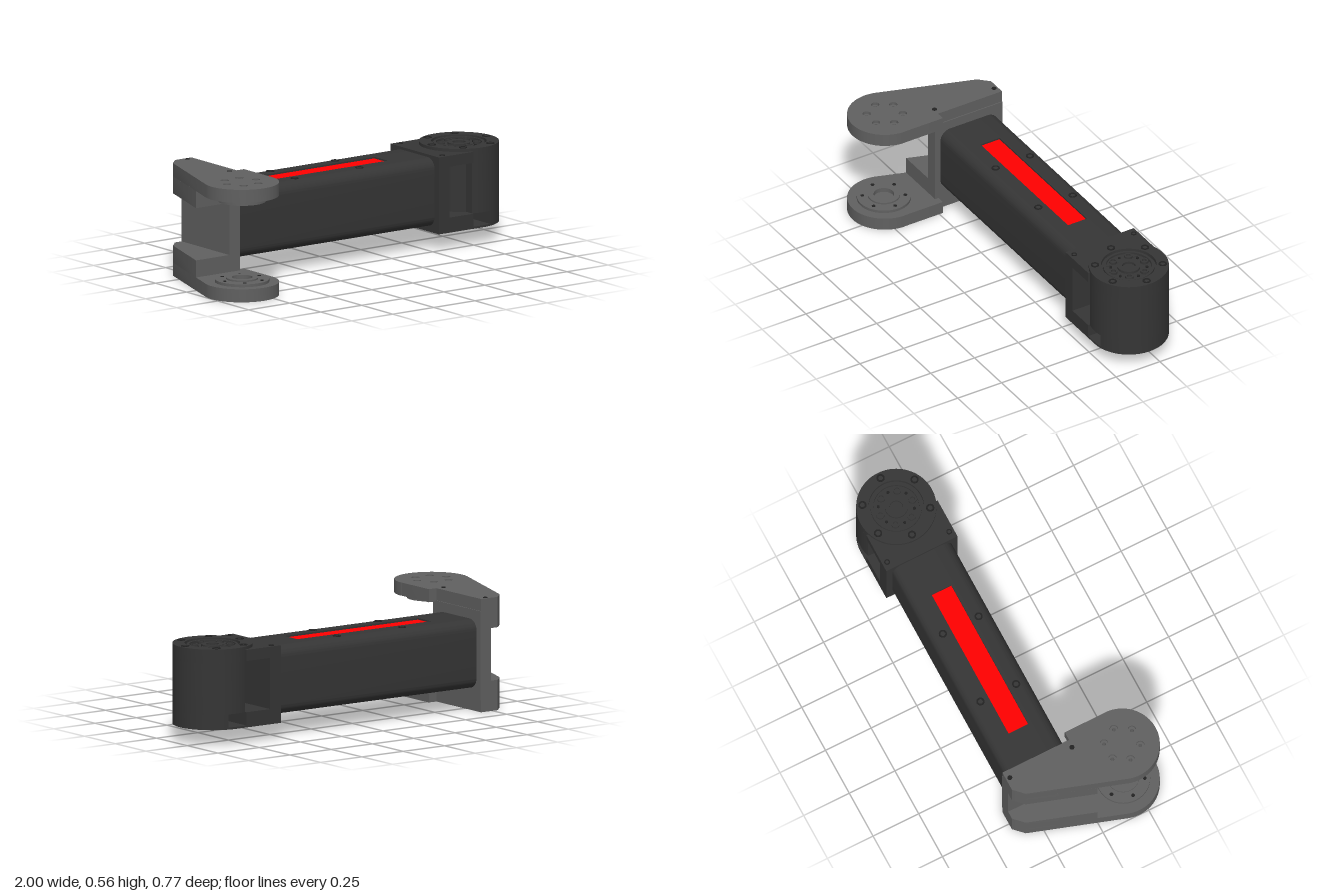
import * as THREE from 'three';
import { toCreasedNormals } from 'three/addons/utils/BufferGeometryUtils.js';

const mat = (color) => new THREE.MeshStandardMaterial({ color });

export function createModel() {
  const model = new THREE.Group();
  const dark = mat(0x353535), grey = mat(0x606060), black = mat(0x222222), red = mat(0xff0000);

  const add = (name, geo, material, parent = model) => {
    const mesh = new THREE.Mesh(geo, material);
    mesh.name = name;
    parent.add(mesh);
    return mesh;
  };
  const group = (name) => {
    const g = new THREE.Group();
    g.name = name;
    model.add(g);
    return g;
  };
  // Horizontal slab from y0 to y1; shapes are drawn in (x, -z)
  const slab = (name, shape, y0, y1, material, parent) => {
    const geo = new THREE.ExtrudeGeometry(shape, { depth: y1 - y0, bevelEnabled: false, curveSegments: 40 });
    geo.rotateX(-Math.PI / 2).translate(0, y0, 0);
    return add(name, toCreasedNormals(geo, 0.6), material, parent);
  };
  const box = (name, x0, x1, y0, y1, z0, z1, material, parent) =>
    add(name, new THREE.BoxGeometry(x1 - x0, y1 - y0, z1 - z0)
      .translate((x0 + x1) / 2, (y0 + y1) / 2, (z0 + z1) / 2), material, parent);
  const disc = (name, x, z, r, y0, y1, material, parent) =>
    add(name, new THREE.CylinderGeometry(r, r, y1 - y0, 48).translate(x, (y0 + y1) / 2, z), material, parent);
  const circle = (x, z, r) => new THREE.Path().absarc(x, -z, r, 0, Math.PI * 2);
  const ring = (name, x, z, r, inner, y0, y1, material, parent) => {
    const s = new THREE.Shape().absarc(x, -z, r, 0, Math.PI * 2);
    s.holes.push(circle(x, z, inner));
    return slab(name, s, y0, y1, material, parent);
  };
  const hex = (x, z, r, fn, start = 0) => {
    for (let i = 0; i < 6; i++) {
      const a = start + i * Math.PI / 3;
      fn(x + r * Math.cos(a), z + r * Math.sin(a));
    }
  };
  const screw = (x, z, r, y, parent) => {
    ring('screwRim', x, z, r, r * 0.6, y - 0.01, y + 0.003, black, parent);
    disc('screwSocket', x, z, r * 0.6, y - 0.01, y + 0.001, dark, parent);
  };

  // Link tube: rounded section with a groove along top and bottom
  const link = group('linkTube');
  const zc = -0.193, hw = 0.162, y0 = 0.112, y1 = 0.452, r = 0.055, gw = 0.054, gd = 0.014;
  const sec = new THREE.Shape();
  sec.moveTo(-hw + r, y0);
  sec.lineTo(-gw, y0); sec.lineTo(-gw, y0 + gd); sec.lineTo(gw, y0 + gd); sec.lineTo(gw, y0);
  sec.absarc(hw - r, y0 + r, r, -Math.PI / 2, 0);
  sec.absarc(hw - r, y1 - r, r, 0, Math.PI / 2);
  sec.lineTo(gw, y1); sec.lineTo(gw, y1 - gd); sec.lineTo(-gw, y1 - gd); sec.lineTo(-gw, y1);
  sec.absarc(-hw + r, y1 - r, r, Math.PI / 2, Math.PI);
  sec.absarc(-hw + r, y0 + r, r, Math.PI, Math.PI * 1.5);
  const tube = new THREE.ExtrudeGeometry(sec, { depth: 1.22, bevelEnabled: false, curveSegments: 10 });
  tube.rotateY(Math.PI / 2).translate(-0.68, 0, zc);
  add('tubeBody', toCreasedNormals(tube, 0.6), dark, link);
  for (const [a, b, s] of [[y0, y0 + gd, 'bottom'], [y1 - gd, y1, 'top']]) {
    box(s + 'GrooveFill', -0.68, -0.48, a, b, zc - gw, zc + gw, dark, link);
    box(s + 'GrooveFill', 0.33, 0.54, a, b, zc - gw, zc + gw, dark, link);
    const lo = s === 'top' ? a : b - 0.006;
    box(s + 'RedStrip', -0.48, 0.33, lo, lo + 0.006, zc - gw, zc + gw, red, link);
  }
  for (const x of [-0.27, 0.125]) for (const z of [-0.292, -0.096]) screw(x, z, 0.02, y1, link);

  // Fork arms: tapered plates with a round end
  const fork = group('fork');
  const px = -0.817, pz = 0.2;
  const armShape = () => {
    const s = new THREE.Shape();
    s.moveTo(-0.78, 0.385);
    s.lineTo(-0.68, 0.385); s.lineTo(-0.68, 0.02); s.lineTo(-0.635, 0.02); s.lineTo(-0.635, -0.2);
    s.absarc(px, -pz, 0.183, 0, -Math.PI - 0.325, true);
    s.lineTo(-0.83, 0.335);
    return s;
  };
  const topArm = armShape(), bottomArm = armShape();
  hex(px, pz, 0.088, (x, z) => {
    topArm.holes.push(circle(x, z, 0.02));
    bottomArm.holes.push(circle(x, z, 0.006));
    ring('armScrew', x, z, 0.02, 0.009, 0.5, 0.545, grey, fork);
  });
  slab('topArm', topArm, 0.495, 0.56, grey, fork);
  slab('bottomArm', bottomArm, 0, 0.065, grey, fork);

  // Thickened arm roots and the plate joining them
  const root = new THREE.Shape();
  root.moveTo(-0.78, 0.385);
  root.lineTo(-0.68, 0.385); root.lineTo(-0.68, 0); root.lineTo(-0.943, 0); root.lineTo(-0.83, 0.335);
  slab('topArmRoot', root, 0.41, 0.495, grey, fork);
  slab('bottomArmRoot', root, 0.065, 0.15, grey, fork);
  box('joiningPlate', -0.74, -0.675, 0.06, 0.5, -0.385, 0, grey, fork);
  for (const z of [-0.365, -0.025]) disc('plateScrew', -0.72, z, 0.012, 0.55, 0.562, black, fork);

  // Bearing pads facing each other
  ring('topPad', px, 0.205, 0.118, 0.05, 0.467, 0.495, grey, fork);
  ring('bottomPad', px, 0.205, 0.132, 0.05, 0.065, 0.079, grey, fork);
  ring('bottomPadCollar', px, 0.205, 0.078, 0.05, 0.079, 0.087, grey, fork);
  hex(px, 0.205, 0.105, (x, z) => disc('padScrew', x, z, 0.009, 0.07, 0.081, black, fork));

  // Motor housing
  const motor = group('motorHousing');
  const cx = 0.805, R = 0.195;
  const segment = (from) => {
    const a = Math.acos((from - cx) / R);
    return new THREE.Shape().absarc(cx, -zc, R, -a, a);
  };
  const base = new THREE.Shape();
  base.moveTo(0.535, -zc - R);
  base.lineTo(cx, -zc - R);
  base.absarc(cx, -zc, R, -Math.PI / 2, Math.PI / 2);
  base.lineTo(0.535, -zc + R);
  slab('basePlate', base, 0.082, 0.092, dark, motor);
  disc('baseHub', cx, zc, 0.065, 0.079, 0.09, black, motor);
  box('lowerBlock', 0.535, 0.745, 0.092, 0.157, zc - R, zc + R, dark, motor);
  slab('lowerShell', segment(0.85), 0.092, 0.157, dark, motor);
  slab('shell', segment(0.745), 0.157, 0.41, dark, motor);
  disc('motorCore', cx, zc, 0.15, 0.157, 0.41, dark, motor);
  box('flange', 0.535, 0.6, 0.157, 0.41, zc - R, zc + R, dark, motor);
  box('upperBlock', 0.535, 0.745, 0.41, 0.465, zc - R, zc + R, dark, motor);
  for (const z of [zc - 0.17, zc + 0.17]) screw(0.575, z, 0.014, 0.465, motor);

  // Output face: rim, recessed disc and hub
  ring('capRim', cx, zc, R, 0.135, 0.41, 0.48, dark, motor);
  disc('outputDisc', cx, zc, 0.135, 0.41, 0.462, dark, motor);
  ring('outputRing', cx, zc, 0.125, 0.112, 0.46, 0.474, dark, motor);
  ring('hub', cx, zc, 0.055, 0.032, 0.46, 0.474, dark, motor);
  hex(cx, zc, 0.165, (x, z) => screw(x, z, 0.02, 0.48, motor));
  hex(cx, zc, 0.088, (x, z) => ring('outputBoss', x, z, 0.02, 0.012, 0.46, 0.474, dark, motor), Math.PI / 6);
  hex(cx, zc, 0.088, (x, z) => disc('outputPin', x, z, 0.007, 0.46, 0.468, black, motor));

  return model;
}
